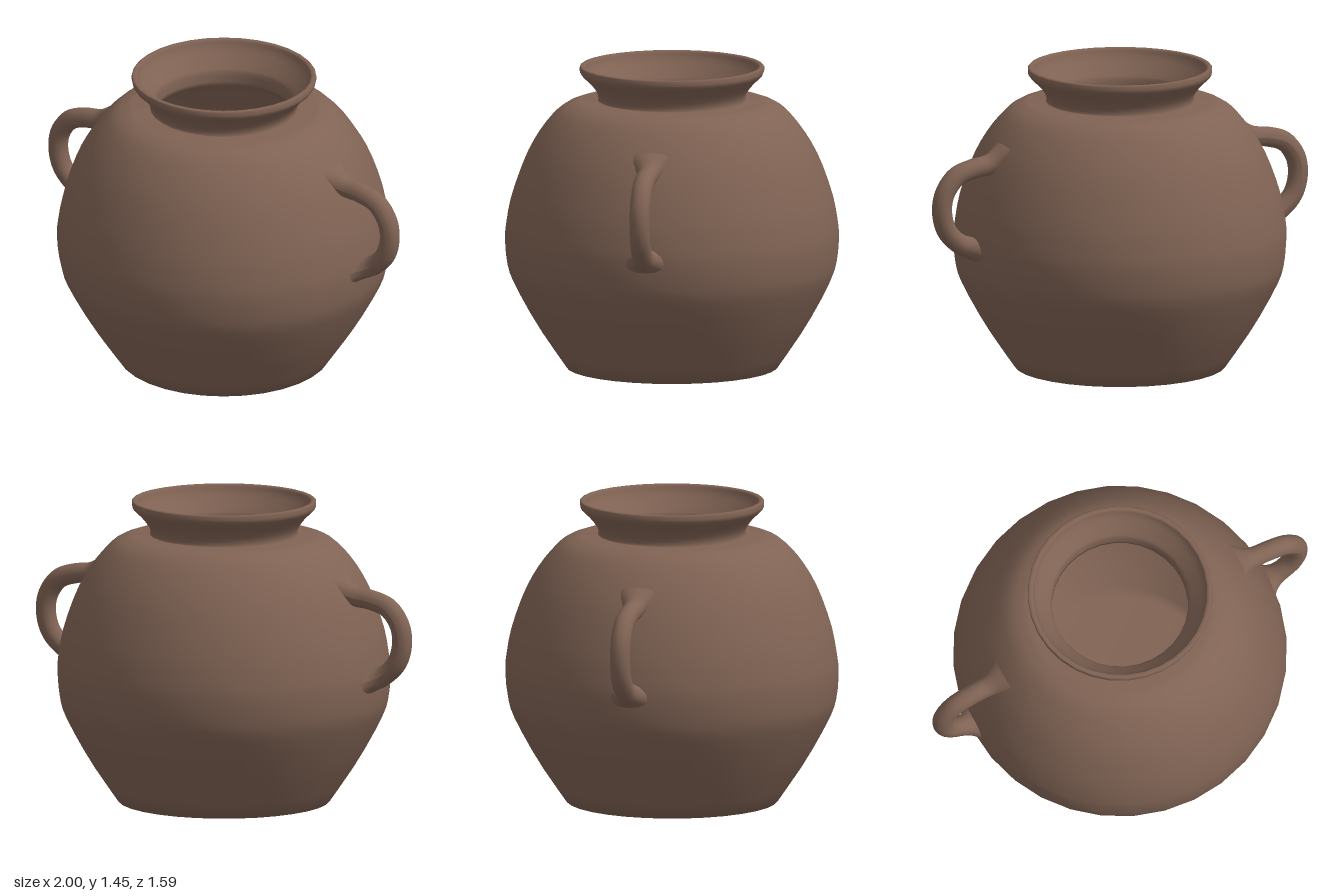
import * as THREE from 'three';

const clay = new THREE.MeshStandardMaterial({ color: 0x806354 });
clay.name = 'brownClay';

const vec = ([x, y]) => new THREE.Vector2(x, y);
const smooth = (pts, n) => new THREE.SplineCurve(pts.map(vec)).getPoints(n);

// Hollow pot: one closed profile, outside going up and inside coming down
function makePot() {
  const belly = [[0.505, 0], [0.64, 0.2], [0.75, 0.4], [0.785, 0.5], [0.796, 0.62], [0.79, 0.7],
    [0.765, 0.83], [0.705, 1.0], [0.64, 1.12], [0.57, 1.21], [0.51, 1.26], [0.44, 1.284]];
  const outerNeck = [[0.355, 1.286], [0.351, 1.3], [0.36, 1.33], [0.395, 1.375], [0.432, 1.41], [0.44, 1.43]];
  const innerNeck = [[0.415, 1.445], [0.4, 1.41], [0.345, 1.345], [0.327, 1.315], [0.325, 1.25]];
  const inside = [[0.42, 1.245], [0.53, 1.19], [0.66, 1.0], [0.73, 0.82], [0.755, 0.62], [0.71, 0.4],
    [0.6, 0.2], [0.49, 0.04]];
  const profile = [
    vec([0, 0]), vec([0.3, 0]),
    ...smooth(belly, 26),
    ...smooth(outerNeck, 10),
    vec([0.44, 1.448]), vec([0.435, 1.453]), vec([0.42, 1.453]),
    ...smooth(innerNeck, 10),
    ...smooth(inside, 18),
    vec([0, 0.04]),
  ];
  const pot = new THREE.Mesh(new THREE.LatheGeometry(profile, 32), clay);
  pot.name = 'pot';
  return pot;
}

// Round ear handle whose ends flare out into the wall
function makeHandleGeometry() {
  const path = new THREE.CatmullRomCurve3([[0.61, 1.085], [0.7, 1.045], [0.79, 1.032], [0.88, 1.0],
    [0.94, 0.92], [0.952, 0.83], [0.925, 0.74], [0.86, 0.675], [0.765, 0.635]]
    .map(([x, y]) => new THREE.Vector3(x, y, 0)));
  const rings = 48, sides = 16;
  const geo = new THREE.TubeGeometry(path, rings, 0.048, sides);
  const pos = geo.attributes.position;
  const p = new THREE.Vector3();
  for (let i = 0; i < pos.count; i++) {
    const t = Math.floor(i / (sides + 1)) / rings;
    const centre = path.getPointAt(t);
    const end = Math.max(0, 1 - Math.min(t / 0.22, (1 - t) / 0.17));
    p.fromBufferAttribute(pos, i).sub(centre);
    p.z *= 1 + 1.5 * end ** 3;
    p.x *= 1 + 0.25 * end ** 2;
    p.y *= 1 + 0.25 * end ** 2;
    p.add(centre);
    pos.setXYZ(i, p.x, p.y, p.z);
  }
  geo.computeVertexNormals();
  return geo;
}

export function createModel() {
  const model = new THREE.Group();
  model.name = 'twoHandledPot';
  model.add(makePot());

  // Matching handles on both sides
  const geo = makeHandleGeometry();
  for (const [name, turn] of [['leftHandle', 0], ['rightHandle', Math.PI]]) {
    const handle = new THREE.Mesh(geo, clay);
    handle.name = name;
    handle.rotation.y = turn;
    model.add(handle);
  }
  return model;
}
